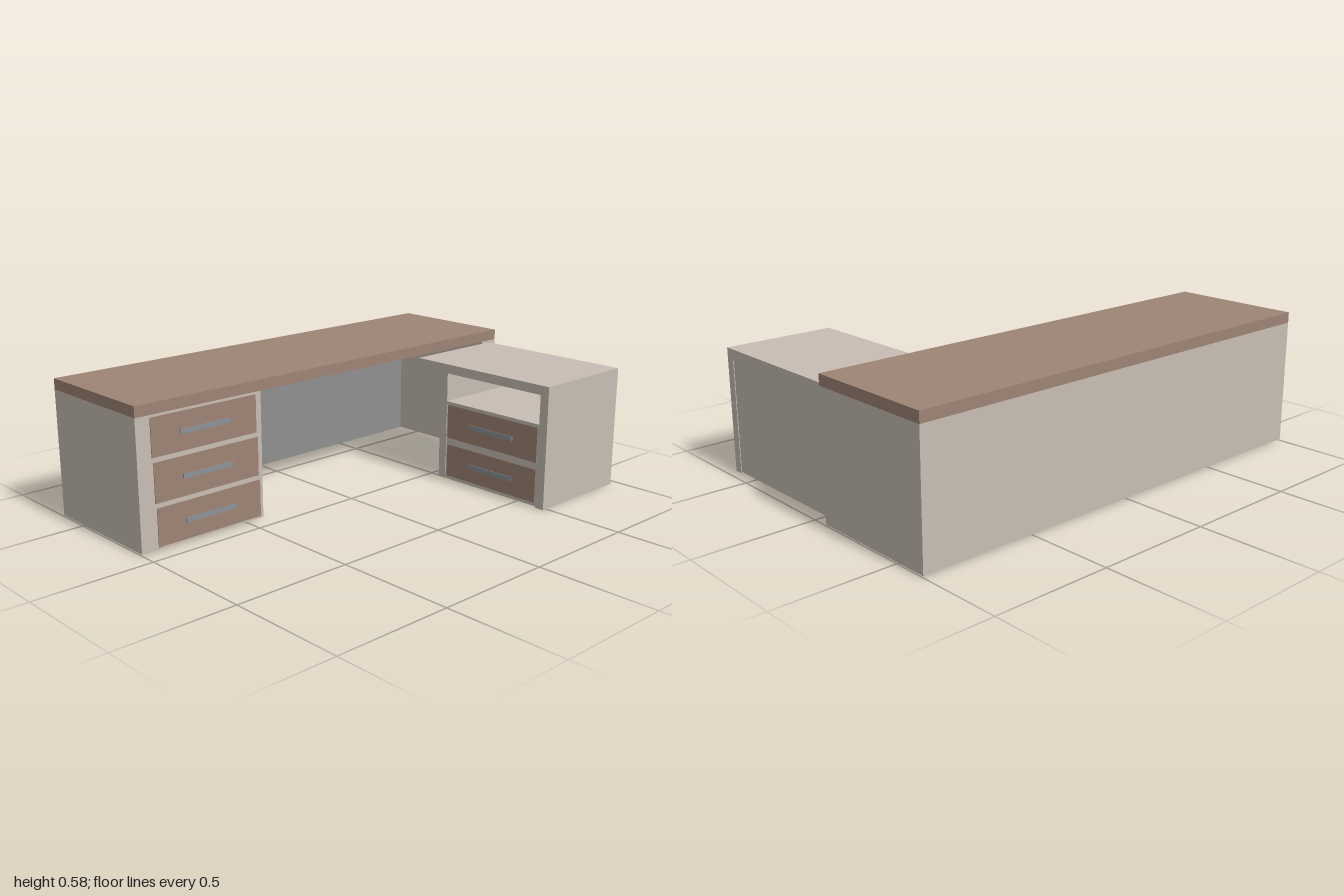
import * as THREE from 'three';

const mat = (name, color) => {
  const m = new THREE.MeshStandardMaterial({ color });
  m.name = name;
  return m;
};

export function createModel() {
  const beige = mat('beige laminate', 0xc8bdb3);
  const brown = mat('brown wood', 0x9e8475);
  const grey = mat('grey panel', 0x8f908f);
  const metal = mat('handle metal', 0x8c9297);

  const desk = new THREE.Group();
  desk.name = 'cornerDesk';

  // Box given by its minimum and maximum on each axis
  const box = (parent, name, material, [x0, x1], [y0, y1], [z0, z1]) => {
    const mesh = new THREE.Mesh(new THREE.BoxGeometry(x1 - x0, y1 - y0, z1 - z0), material);
    mesh.position.set((x0 + x1) / 2, (y0 + y1) / 2, (z0 + z1) / 2);
    mesh.name = name;
    parent.add(mesh);
    return mesh;
  };

  // Drawer front facing +z, with a bar handle on two posts
  const drawer = (name, width, height, handleWidth, handleY) => {
    const g = new THREE.Group();
    g.name = name;
    box(g, 'drawerFront', brown, [-width / 2, width / 2], [-height / 2, height / 2], [-0.01, 0.003]);
    const h = handleWidth / 2;
    box(g, 'handleBar', metal, [-h, h], [handleY - 0.01, handleY + 0.01], [0.006, 0.009]);
    for (const s of [-1, 1]) {
      const x = s * (h - 0.006);
      box(g, 'handlePost', metal, [x - 0.006, x + 0.006], [handleY - 0.007, handleY + 0.007], [0.002, 0.007]);
    }
    return g;
  };

  const back = -0.645, front = -0.075, base = 0.006, under = 0.535;

  // Main desk
  box(desk, 'desktop', brown, [-1, 1], [under, 0.58], [back, front]);
  box(desk, 'backPanel', beige, [-1, 1], [base, under], [back, -0.605]);
  box(desk, 'innerBackPanel', grey, [-0.42, 0.91], [base, under], [-0.606, -0.602]);
  box(desk, 'endPanel', beige, [0.91, 1], [base, under], [-0.605, front]);
  box(desk, 'pedestal', beige, [-1, -0.42], [base, under], [-0.605, front]);

  // Pedestal drawers
  const rows = [[0.0925, 0.155], [0.27, 0.16], [0.4475, 0.155]];
  rows.forEach(([y, h], i) => {
    const d = drawer('pedestalDrawer', 0.49, h, 0.235, 0);
    d.position.set(-0.68 - i * 0.006, y, front);
    desk.add(d);
  });

  // Side return: an open-topped cabinet that faces the sitter
  const side = new THREE.Group();
  side.name = 'sideReturn';
  desk.add(side);
  box(side, 'returnTop', beige, [0.48, 0.96], [0.485, 0.525], [front, 0.605]);
  box(side, 'returnFrontPanel', beige, [0.48, 0.96], [0, 0.525], [0.605, 0.645]);
  box(side, 'returnOuterPanel', beige, [0.91, 0.957], [base, 0.485], [front, 0.605]);
  box(side, 'returnRearPanel', beige, [0.48, 0.91], [base, 0.485], [0.06, 0.1]);
  box(side, 'returnShelf', beige, [0.48, 0.91], [0.345, 0.36], [0.1, 0.605]);
  box(side, 'drawerCase', beige, [0.483, 0.91], [base, 0.345], [0.1, 0.605]);
  rows.slice(0, 2).forEach(([y, h]) => {
    const d = drawer('returnDrawer', 0.49, h - 0.01, 0.235, 0);
    d.rotation.y = -Math.PI / 2;
    d.position.set(0.483, y, 0.3525);
    side.add(d);
  });

  return desk;
}
